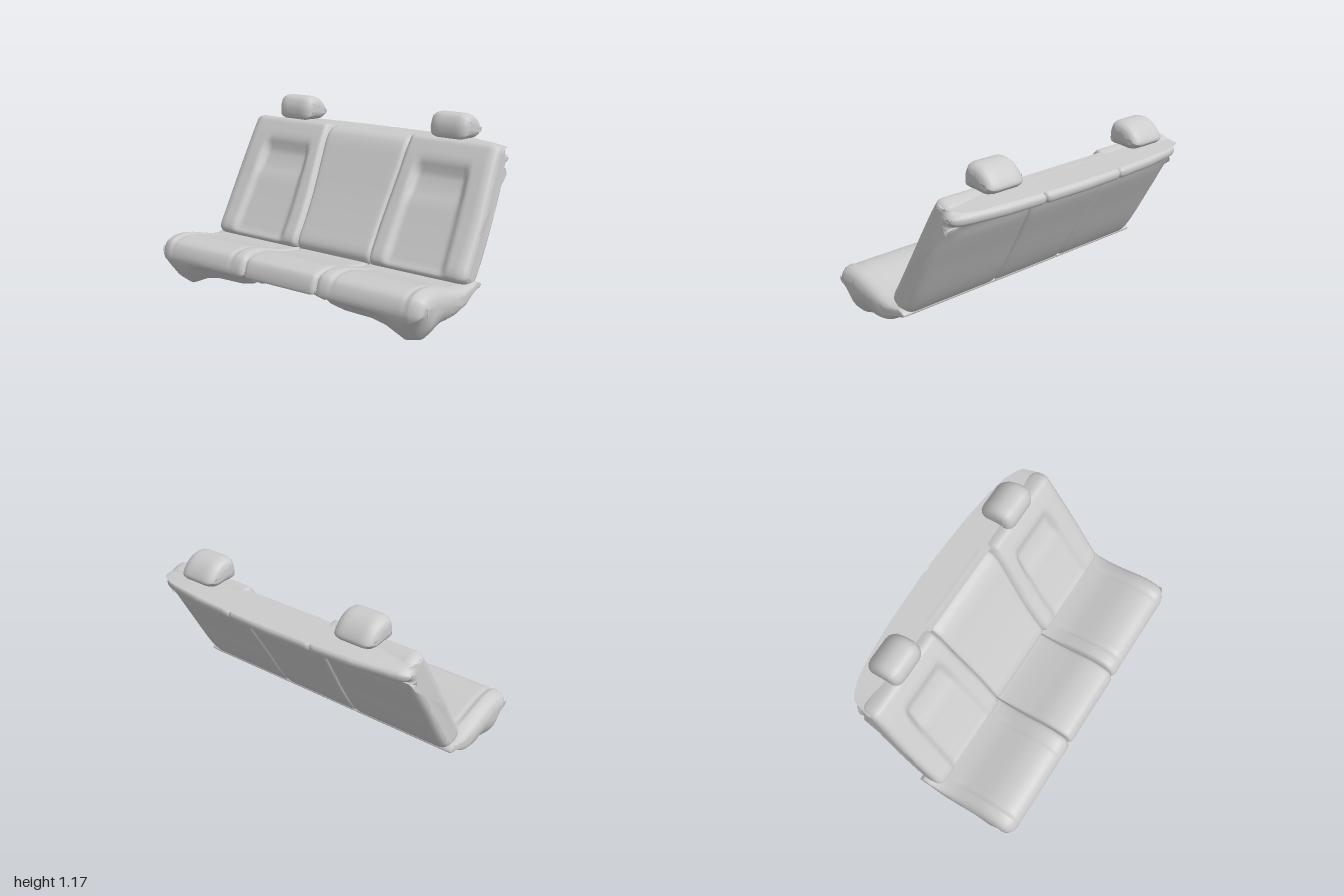
import * as THREE from 'three';

const material = new THREE.MeshStandardMaterial({ color: 0xcccccc, side: THREE.DoubleSide });
const { smoothstep, lerp } = THREE.MathUtils;

// Linear lookup in a short list of [key, value] pairs
function lookup(table, k) {
  for (let i = 1; i < table.length; i++) {
    const [k0, v0] = table[i - 1], [k1, v1] = table[i];
    if (k <= k1) return lerp(v0, v1, Math.max(0, (k - k0) / (k1 - k0)));
  }
  return table[table.length - 1][1];
}

// 1 inside [a, b], fading to 0 over a width w
const band = (v, a, b, w) => smoothstep(v, a, a + w) * (1 - smoothstep(v, b - w, b));

// Stations along x with an inset that rounds off both ends
function stations(x0, x1, r0, r1, n) {
  const list = [], arc = [0, 0.08, 0.25, 0.55];
  const inset = (u, r) => r * (1 - Math.sqrt(1 - (1 - u) ** 2));
  arc.forEach(u => list.push([x0 + u * r0, inset(u, r0)]));
  for (let i = 0; i <= n; i++) list.push([lerp(x0 + r0, x1 - r1, i / n), 0]);
  arc.slice().reverse().forEach(u => list.push([x1 - u * r1, inset(u, r1)]));
  return list;
}

// Padded body: closed smooth (z, y) profiles lofted along x, ends capped
function loft(name, list, profile, { detail = 4, soft = () => 1, warp = () => {} } = {}) {
  const pos = [], index = [];
  let count = 0;
  const caps = [];
  list.forEach(([x, inset], s) => {
    const curve = new THREE.CatmullRomCurve3(
      profile(Math.abs(x)).map(([z, y]) => new THREE.Vector3(0, y, z)), true, 'centripetal');
    count = curve.points.length * detail;
    const ring = [];
    for (let j = 0; j < count; j++) {
      const p = curve.getPoint(j / count), t = curve.getTangent(j / count);
      const d = inset * soft(p.z, p.y);
      const v = new THREE.Vector3(x, p.y - t.z * d, p.z + t.y * d);
      warp(v);
      pos.push(v.x, v.y, v.z);
      ring.push(new THREE.Vector2(v.z, v.y));
    }
    if (s === 0 || s === list.length - 1) caps.push([s * count, ring]);
    if (s > 0) for (let j = 0; j < count; j++) {
      const a = (s - 1) * count + j, b = (s - 1) * count + (j + 1) % count;
      index.push(a, b, a + count, b, b + count, a + count);
    }
  });
  caps.forEach(([base, ring], side) => {
    for (const [a, b, c] of THREE.ShapeUtils.triangulateShape(ring, [])) {
      const area = (ring[b].x - ring[a].x) * (ring[c].y - ring[a].y) - (ring[b].y - ring[a].y) * (ring[c].x - ring[a].x);
      const flip = (area > 0) !== (side === 0);
      index.push(base + a, base + (flip ? c : b), base + (flip ? b : c));
    }
  });
  const g = new THREE.BufferGeometry();
  g.setAttribute('position', new THREE.Float32BufferAttribute(pos, 3));
  g.setIndex(index);
  g.computeVertexNormals();
  const mesh = new THREE.Mesh(g, material);
  mesh.name = name;
  return mesh;
}

const mirror = list => list.map(([x, d]) => [-x, d]).reverse();

// Lowest height of the cushion underside across the width
const underside = [[0, 0.155], [0.1, 0.15], [0.27, 0.11], [0.4, 0.085], [0.6, 0.08], [0.7, 0.06], [0.83, 0.002], [0.92, 0.025], [1, 0.09]];

function cushionProfile(x) {
  const b = lookup(underside, x), top = x < 0.28 ? -0.008 : 0;
  return [
    [-0.04, 0.235], [0.07, 0.235], [0.17, 0.25], [0.3, 0.288 + top], [0.43, 0.322 + top], [0.54, 0.322 + top],
    [0.6, 0.292], [0.628, 0.19], [0.57, b + 0.075], [0.49, b], [0.35, b + 0.025], [0.25, Math.max(b, 0.075)],
    [0.12, 0.1], [0, 0.175], [-0.07, 0.205],
  ];
}

function backProfile(x) {
  const mid = x < 0.3;
  const f = mid ? -0.015 : 0;
  const lip = lookup([[0, 0.01], [0.3, 0], [0.6, -0.015], [0.85, -0.05], [0.97, -0.08]], x);
  return [
    [-0.525 + lip * -1, 0.95], [-0.44, mid ? 0.985 : 0.975], [mid ? -0.375 : -0.345, mid ? 0.985 : 1.0], [-0.3 + f, 0.95],
    [-0.2 + f, 0.78], [-0.1 + f, 0.6], [0.02 + f, 0.4], [0.08 + f, 0.3], [0.085 + f, 0.26], [0.05, 0.22],
    [-0.03, 0.19], [-0.1, 0.25], [-0.3, 0.58], [-0.4, 0.75], [-0.455, 0.85], [-0.52 - lip, 0.858],
    [-0.565 - lip, 0.88], [-0.57 - lip, 0.92],
  ];
}

// Seams and sunken seat panel on top of the outer cushions
function shapeCushion(v) {
  const x = Math.abs(v.x), face = smoothstep(v.y, 0.2, 0.26) * smoothstep(v.z, 0.1, 0.25);
  const seam = c => Math.exp(-(((x - c) / 0.018) ** 2));
  v.y -= face * (0.012 * (seam(0.385) + seam(0.885)) + 0.006 * band(x, 0.38, 0.89, 0.05));
}

// Tapered outline and recessed panel between the bolsters
function shapeSideBack(v) {
  const sign = Math.sign(v.x), x = Math.abs(v.x);
  const t = (x - 0.285) / 0.69;
  const front = smoothstep(v.z - (-0.2 - (v.y - 0.6) * 0.6), 0, 0.05);
  const upper = smoothstep(v.y, 0.655, 0.69);
  const depth = front * band(x, 0.385, 0.865 - 0.05 * v.y, 0.06) * band(v.y, 0.24, 0.88, 0.08) * lerp(0.03, 0.048, upper);
  v.z -= depth * 0.87;
  v.y -= depth * 0.3;
  v.x = sign * lerp(0.28 + 0.035 * smoothstep(v.y, 0.4, 1), 0.975 - 0.02 * smoothstep(v.y, 0.5, 1), t);
}

// Middle backrest widens toward the top
function shapeMiddleBack(v) {
  v.x *= 1 + 0.11 * smoothstep(v.y, 0.4, 1);
}

function headrestProfile() {
  return [
    [-0.5, 1.125], [-0.43, 1.163], [-0.35, 1.16], [-0.32, 1.12], [-0.31, 1.07], [-0.32, 1.017],
    [-0.4, 1.006], [-0.49, 1.002], [-0.55, 1.035], [-0.55, 1.06],
  ];
}

// Thin curved shelf behind the backrests
function createShelf() {
  const edge = [[0, -0.62], [0.03, -0.63], [0.4, -0.618], [0.65, -0.595], [0.8, -0.57], [0.9, -0.53], [0.94, -0.49], [0.955, -0.4]];
  const g = new THREE.PlaneGeometry(1.91, 1, 60, 5);
  const p = g.attributes.position;
  for (let i = 0; i < p.count; i++) {
    const x = p.getX(i), t = 0.5 - p.getY(i);
    const back = lookup(edge, Math.abs(x));
    p.setXYZ(i, x, lerp(0.974, 0.99, t) - 0.012 * smoothstep(Math.abs(x), 0.6, 0.955), lerp(back, -0.37, t));
  }
  g.computeVertexNormals();
  const mesh = new THREE.Mesh(g, material);
  mesh.name = 'rearShelf';
  return mesh;
}

export function createModel() {
  const group = new THREE.Group();
  group.name = 'rearBenchSeat';
  const cushionSoft = z => smoothstep(z, -0.1, 0.3);

  // Outer seats, one on each side
  const cushion = stations(0.275, 1, 0.035, 0.08, 48);
  const back = stations(0.285, 0.975, 0.04, 0.06, 40);
  const headrest = stations(0.465, 0.74, 0.06, 0.06, 6);
  for (const [side, place] of [['left', l => l], ['right', mirror]]) {
    group.add(
      loft(side + 'Cushion', place(cushion), cushionProfile, { soft: cushionSoft, warp: shapeCushion }),
      loft(side + 'Backrest', place(back), backProfile, { detail: 5, soft: () => 0.8, warp: shapeSideBack }),
      loft(side + 'Headrest', place(headrest), headrestProfile),
    );
  }

  // Middle seat
  group.add(
    loft('middleCushion', stations(-0.27, 0.27, 0.03, 0.03, 16), cushionProfile, { soft: cushionSoft }),
    loft('middleBackrest', stations(-0.285, 0.285, 0.03, 0.03, 16), backProfile, { soft: () => 0.8, warp: shapeMiddleBack }),
    createShelf(),
  );
  return group;
}
